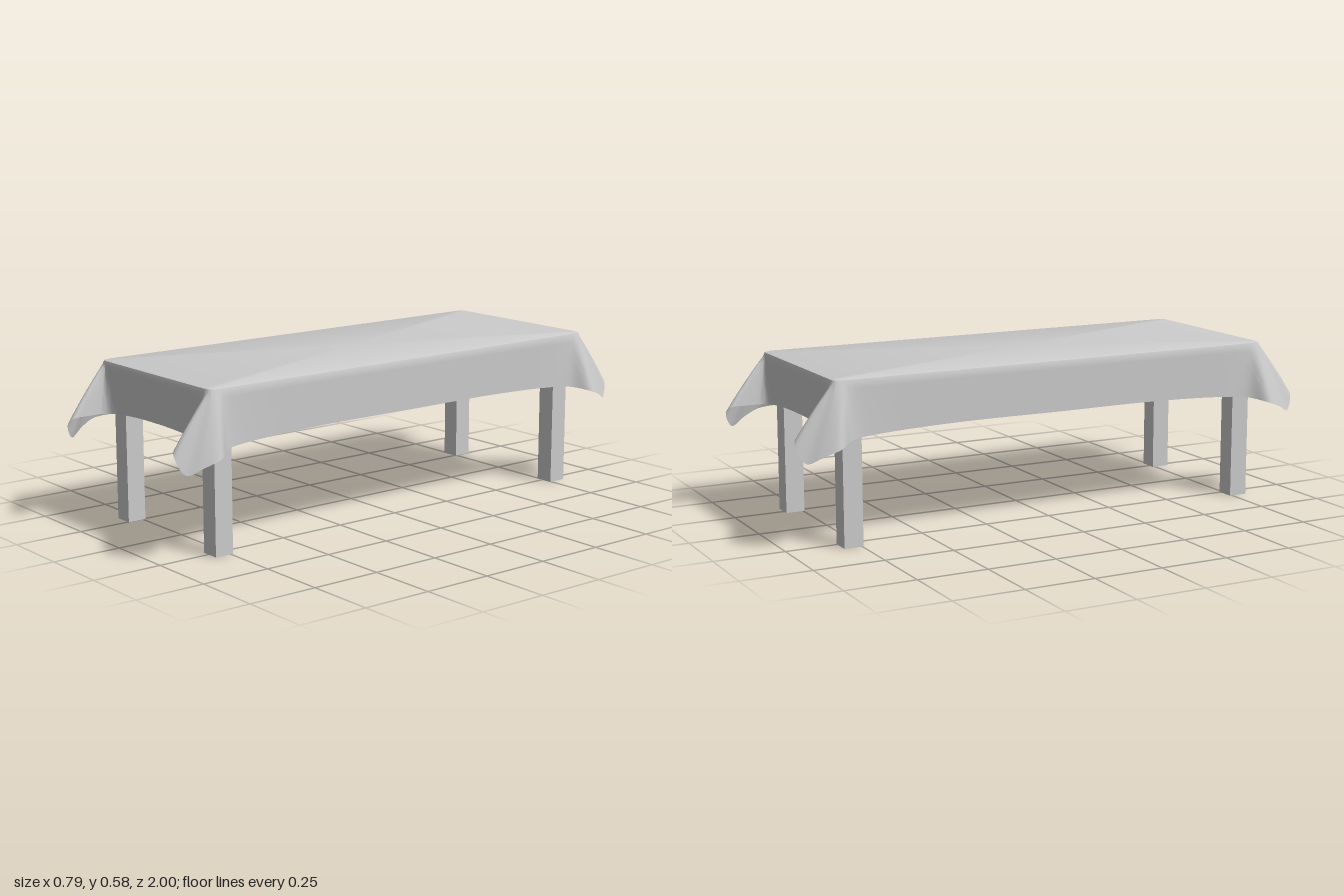
import * as THREE from 'three';
import { toCreasedNormals } from 'three/addons/utils/BufferGeometryUtils.js';

const TOP = 0.578, RIM = 0.563;

// One quarter of the hem, from mid side round the corner to mid end:
// [rim x, rim z, hem x, hem y, hem z]
const QUARTER = [
  [0.335, 0, 0.333, 0.395, 0],
  [0.335, 0.4, 0.333, 0.395, 0.4],
  [0.335, 0.7, 0.335, 0.385, 0.68],
  [0.335, 0.79, 0.347, 0.375, 0.79],
  [0.335, 0.82, 0.393, 0.358, 0.85],
  [0.332, 0.838, 0.376, 0.335, 0.91],
  [0.328, 0.845, 0.346, 0.312, 0.965],
  [0.322, 0.849, 0.318, 0.37, 0.995],
  [0.316, 0.850, 0.298, 0.39, 0.98],
  [0.310, 0.851, 0.297, 0.392, 0.93],
  [0.303, 0.851, 0.294, 0.392, 0.87],
  [0.27, 0.851, 0.26, 0.394, 0.846],
  [0.14, 0.851, 0.14, 0.403, 0.842],
  [0, 0.851, 0, 0.406, 0.842],
];

// Corners in order round the table: x sign, z sign, stretch of the hanging fold
const CORNERS = [[1, 1, 0.9], [-1, 1, 1.02], [-1, -1, 0.92], [1, -1, 1.02]];

function createCloth(material) {
  const rim = [], hem = [];
  CORNERS.forEach(([sx, sz, stretch], i) => {
    const quarter = i % 2 ? [...QUARTER].reverse() : QUARTER;
    quarter.slice(0, -1).forEach(([rx, rz, hx, hy, hz]) => {
      const z = hz > 0.851 ? 0.851 + (hz - 0.851) * stretch : hz;
      rim.push(new THREE.Vector3(sx * rx, RIM, sz * rz));
      hem.push(new THREE.Vector3(sx * hx, hy, sz * z));
    });
  });
  const rimCurve = new THREE.CatmullRomCurve3(rim, true);
  const hemCurve = new THREE.CatmullRomCurve3(hem, true);

  const cols = rim.length * 5, drops = 10, rows = drops + 3;
  const positions = [0, TOP, 0], index = [];
  const at = (row, col) => 1 + row * cols + (col % cols);

  // Rows: flat top edge, rounded shoulder, then the drop from rim to hem
  for (let row = 0; row < rows; row++) {
    for (let c = 0; c < cols; c++) {
      const p = rimCurve.getPoint(c / cols);
      if (row === 0) p.set(p.x * 0.965, TOP, p.z * 0.987);
      else if (row === 1) p.set(p.x * 0.988, TOP - 0.003, p.z * 0.996);
      else {
        const t = (row - 2) / drops;
        const q = hemCurve.getPoint(c / cols);
        const y = THREE.MathUtils.lerp(p.y, q.y, t);
        p.lerp(q, t + 0.12 * t * (1 - t)).setY(y);
      }
      positions.push(p.x, p.y, p.z);
    }
  }
  for (let c = 0; c < cols; c++) {
    index.push(0, at(0, c + 1), at(0, c));
    for (let row = 0; row < rows - 1; row++) {
      const a = at(row, c), b = at(row, c + 1);
      const d = at(row + 1, c), e = at(row + 1, c + 1);
      index.push(a, b, d, b, e, d);
    }
  }
  const geometry = new THREE.BufferGeometry();
  geometry.setAttribute('position', new THREE.Float32BufferAttribute(positions, 3));
  geometry.setIndex(index);
  const cloth = new THREE.Mesh(toCreasedNormals(geometry, 0.6), material);
  cloth.name = 'tablecloth';
  return cloth;
}

export function createModel() {
  const model = new THREE.Group();
  model.name = 'tableWithCloth';
  const wood = new THREE.MeshStandardMaterial({ color: 0xcccccc });
  const fabric = new THREE.MeshStandardMaterial({ color: 0xcccccc, side: THREE.DoubleSide });

  function addBox(name, w, h, d, x, y, z) {
    const mesh = new THREE.Mesh(new THREE.BoxGeometry(w, h, d), wood);
    mesh.name = name;
    mesh.position.set(x, y, z);
    model.add(mesh);
  }

  // Table top under the cloth
  addBox('tableTop', 0.64, 0.05, 1.66, -0.005, 0.545, 0);

  // Four square legs
  for (const [side, x] of [['Left', 0.259], ['Right', -0.279]]) {
    for (const [end, z] of [['front', 0.775], ['back', -0.78]]) {
      addBox(`${end}${side}Leg`, 0.069, 0.53, 0.069, x, 0.265, z);
    }
  }

  // Draped cloth with a hanging fold at each corner
  model.add(createCloth(fabric));
  return model;
}
